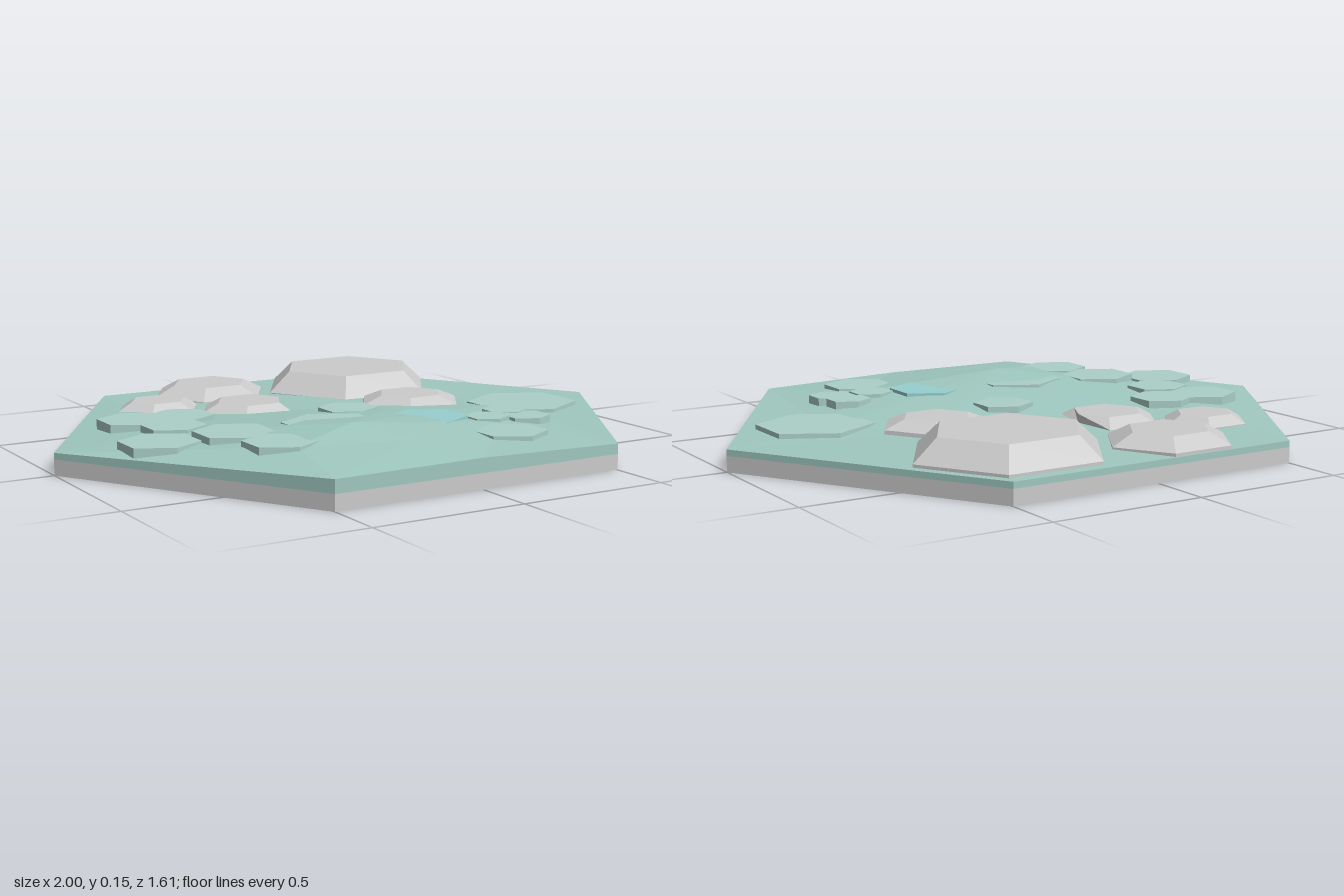
import * as THREE from 'three';

const material = (color, side = THREE.FrontSide) =>
  new THREE.MeshStandardMaterial({ color, side, flatShading: true });
const stone = material(0xcccccc);
const shell = material(0xcccccc, THREE.DoubleSide);
const grass = material(0x9fc8bf);
const patchColor = material(0xabd0c8);
const waterColor = material(0x98cfd0);
const SQUASH = 0.93; // the hexagons are slightly shallower in z

function add(group, name, geometry, mat) {
  const mesh = new THREE.Mesh(geometry, mat);
  mesh.name = name;
  group.add(mesh);
  return mesh;
}

// Six-sided solid from a [radius, y] profile, corners on the x axis or the z axis
function hexSolid(profile, cornersOnX) {
  const points = profile.map(([r, y]) => new THREE.Vector2(r, y));
  points.unshift(new THREE.Vector2(0, profile[0][1]));
  points.push(new THREE.Vector2(0, profile[profile.length - 1][1]));
  return new THREE.LatheGeometry(points, 6, cornersOnX ? Math.PI / 6 : 0)
    .scale(1, 1, SQUASH).toNonIndexed();
}

// Terrain skin from loops: skirt, rim, inner ring and the hill top
function terrainGeometry() {
  const rim = [[1, 0.07, 0], [0.5, 0.07, -0.805], [0, 0.07, -0.805], [-0.5, 0.07, -0.805],
    [-1, 0.07, 0], [-0.5, 0.092, 0.805], [0, 0.095, 0.805], [0.5, 0.082, 0.805]];
  const inner = [[0.62, 0.08, 0.08], [0.35, 0.08, -0.12], [-0.05, 0.085, -0.15], [-0.4, 0.083, -0.25],
    [-0.62, 0.1, 0.05], [-0.45, 0.121, 0.5], [-0.1, 0.122, 0.6], [0.35, 0.106, 0.45]];
  const skirt = rim.map(([x, , z]) => [x, 0.048, z]);
  const peak = rim.map(() => [-0.2, 0.15, 0.4]);
  const loops = [skirt, rim, inner, peak];
  const n = rim.length;
  const index = [];
  for (let k = 0; k < loops.length - 1; k++) {
    for (let i = 0; i < n; i++) {
      const j = (i + 1) % n;
      const a = k * n + i, b = k * n + j, c = b + n, d = a + n;
      index.push(a, b, c);
      if (k < 2) index.push(a, c, d);
    }
  }
  const geometry = new THREE.BufferGeometry();
  geometry.setAttribute('position', new THREE.Float32BufferAttribute(loops.flat(2), 3));
  geometry.setIndex(index);
  const flat = geometry.toNonIndexed();
  flat.computeVertexNormals();
  return flat;
}

export function createModel() {
  const model = new THREE.Group();
  model.name = 'hexTile';

  // Hollow base: outer wall and an underside set up inside it
  const wall = new THREE.CylinderGeometry(1, 1, 0.05, 6, 1, true, Math.PI / 6);
  wall.scale(1, 1, SQUASH).translate(0, 0.025, 0);
  add(model, 'baseWall', wall, shell);
  const ceiling = new THREE.CircleGeometry(1, 6);
  ceiling.rotateX(Math.PI / 2).scale(1, 1, SQUASH).translate(0, 0.048, 0);
  add(model, 'baseUnderside', ceiling, shell);

  add(model, 'terrain', terrainGeometry(), grass);

  // Rocks: x, z, profile, and an optional limit where the +x side is cut straight
  const rocks = new THREE.Group();
  rocks.name = 'rocks';
  model.add(rocks);
  const rockList = [
    [0.33, -0.51, [[0.32, 0.05], [0.32, 0.08], [0.24, 0.15]]],
    [0.33, -0.09, [[0.15, 0.025], [0.19, 0.06], [0.185, 0.09], [0.115, 0.117]]],
    [-0.17, -0.63, [[0.21, 0.05], [0.21, 0.08], [0.135, 0.117]]],
    [-0.45, -0.455, [[0.145, 0.05], [0.145, 0.08], [0.095, 0.108]]],
    [-0.19, -0.28, [[0.18, 0.04], [0.18, 0.08], [0.12, 0.11]], 0.11],
    [-0.47, 0.02, [[0.35, 0.038], [0.35, 0.06]]], // buried slab
  ];
  for (const [x, z, profile, cut = 1] of rockList) {
    const geometry = hexSolid(profile, true);
    const p = geometry.attributes.position;
    for (let i = 0; i < p.count; i++) p.setX(i, Math.min(p.getX(i), cut));
    geometry.computeVertexNormals();
    add(rocks, 'rock', geometry, stone).position.set(x, 0, z);
  }

  // Hexagonal ground patches: x, z, radius, top, bottom
  const patches = new THREE.Group();
  patches.name = 'groundPatches';
  model.add(patches);
  const patchList = [
    [-0.66, -0.18, 0.12, 0.109, 0.06], [-0.5, -0.17, 0.11, 0.109, 0.06],
    [-0.6, -0.01, 0.105, 0.113, 0.06], [-0.73, 0.17, 0.13, 0.109, 0.03],
    [-0.51, 0.225, 0.13, 0.126, 0.03], [-0.46, 0.43, 0.12, 0.128, 0.03],
    [-0.2, 0.28, 0.16, 0.131, 0.03], [0.02, 0.01, 0.1, 0.112, 0.06],
    [0.31, 0.39, 0.075, 0.119, 0.06], [0.44, 0.42, 0.08, 0.114, 0.06],
    [0.43, 0.32, 0.075, 0.117, 0.06], [0.65, 0.12, 0.19, 0.09, 0.03],
    [0.26, 0.58, 0.12, 0.11, 0.03],
  ];
  for (const [x, z, r, top, bottom] of patchList) {
    add(patches, 'groundPatch', hexSolid([[r, bottom], [r, top]], false), patchColor)
      .position.set(x, 0, z);
  }

  // Pond patch on the hillside
  add(model, 'pond', hexSolid([[0.13, 0.03], [0.13, 0.124]], false), waterColor)
    .position.set(0.13, 0, 0.32);

  return model;
}
